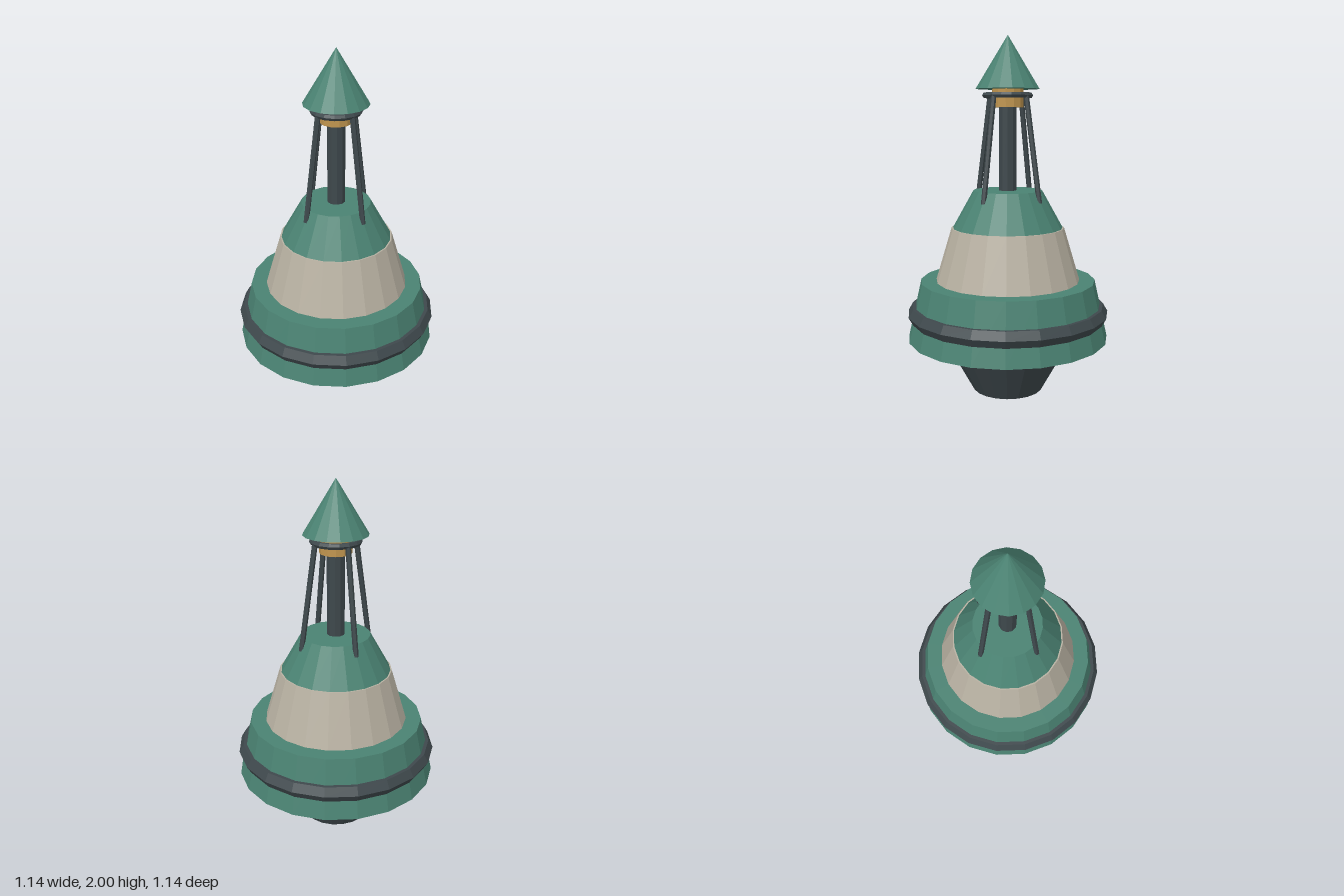
import * as THREE from 'three';

export function createModel() {
  const paint = (name, color) => {
    const m = new THREE.MeshStandardMaterial({ color, flatShading: true });
    m.name = name;
    return m;
  };
  const green = paint('green', 0x4a8272);
  const cream = paint('cream', 0xb8b1a2);
  const dark = paint('dark grey', 0x3e484c);
  const amber = paint('amber', 0xc0954f);

  const buoy = new THREE.Group();
  buoy.name = 'buoy';
  const add = (name, geometry, material, y = 0) => {
    const mesh = new THREE.Mesh(geometry, material);
    mesh.name = name;
    mesh.position.y = y;
    buoy.add(mesh);
    return mesh;
  };
  // Upright tapered drum between two heights
  const drum = (name, y0, y1, r0, r1, sides, material) =>
    add(name, new THREE.CylinderGeometry(r1, r0, y1 - y0, sides), material, (y0 + y1) / 2);
  // Horizontal ring
  const ring = (name, y, radius, tube, sides, material) =>
    add(name, new THREE.TorusGeometry(radius, tube, 6, sides).rotateX(Math.PI / 2), material, y);

  // Hull
  drum('keel', 0, 0.31, 0.2, 0.37, 20, dark);
  drum('float', 0.31, 0.64, 0.57, 0.495, 20, green);
  ring('fender', 0.455, 0.52, 0.052, 20, dark);

  // Tapered body
  drum('lowerBody', 0.64, 0.94, 0.408, 0.318, 20, cream);
  drum('upperBody', 0.94, 1.15, 0.31, 0.193, 20, green);

  // Mast, lamp and pointed topmark
  drum('mast', 1.15, 1.61, 0.05, 0.05, 10, dark);
  drum('lamp', 1.61, 1.71, 0.088, 0.088, 12, amber);
  add('topmark', new THREE.ConeGeometry(0.178, 0.29, 16), green, 1.855);

  // Cage: one ring on four leaning legs
  ring('cageRing', 1.675, 0.125, 0.017, 16, dark);
  const up = new THREE.Vector3(0, 1, 0);
  for (let i = 0; i < 4; i++) {
    const a = (i * Math.PI) / 2;
    const foot = new THREE.Vector3(Math.cos(a) * 0.216, 1.09, Math.sin(a) * 0.216);
    const head = new THREE.Vector3(Math.cos(a) * 0.124, 1.68, Math.sin(a) * 0.124);
    const span = head.clone().sub(foot);
    const leg = add('cageLeg', new THREE.CylinderGeometry(0.015, 0.015, span.length(), 6), dark);
    leg.position.copy(foot).add(head).multiplyScalar(0.5);
    leg.quaternion.setFromUnitVectors(up, span.normalize());
  }
  return buoy;
}
